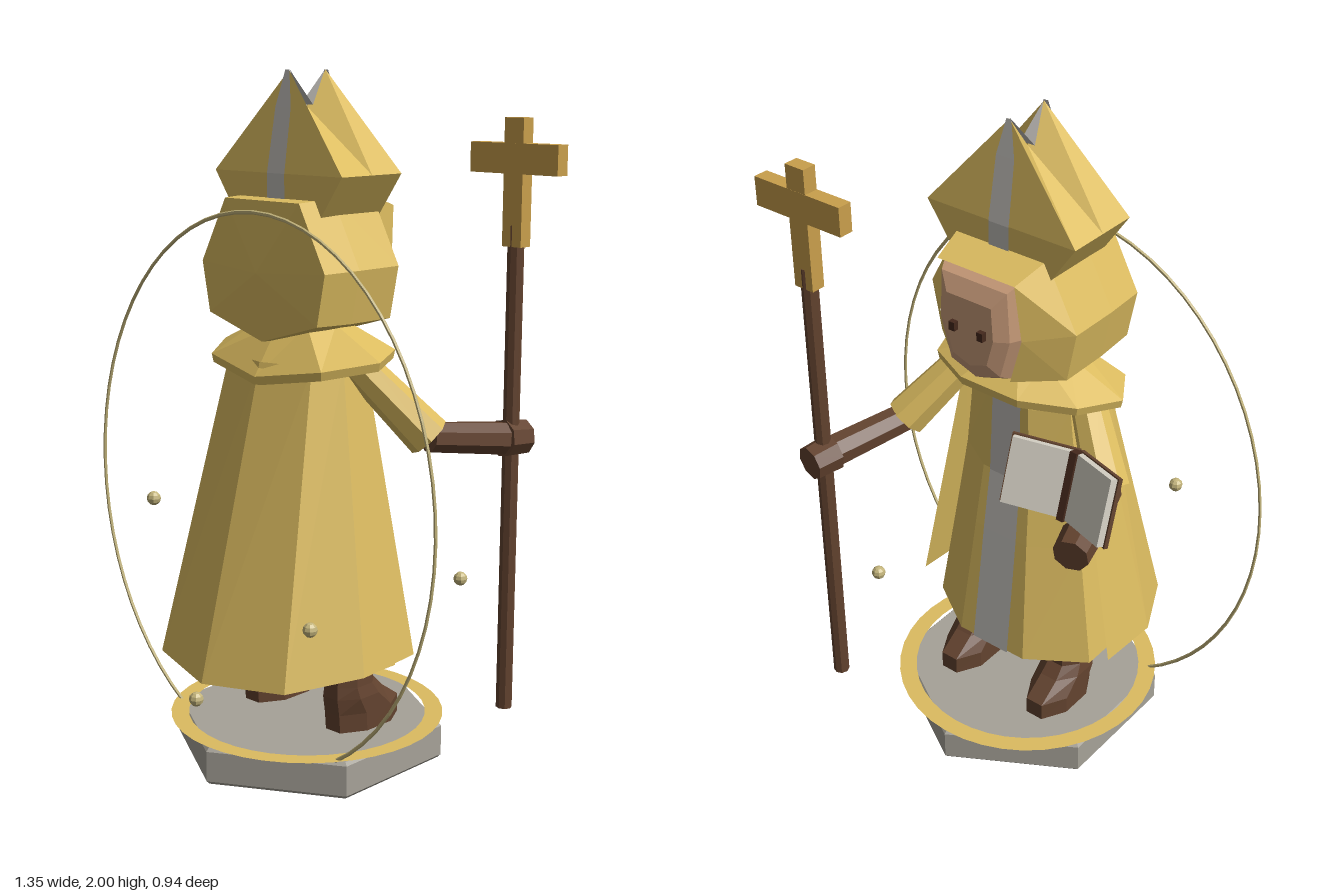
import * as THREE from 'three';

const paint = (name, color, side = THREE.FrontSide) => {
  const m = new THREE.MeshStandardMaterial({ color, side });
  m.name = name;
  return m;
};

// Faceted normals for any geometry
function facet(geo) {
  const g = geo.index ? geo.toNonIndexed() : geo;
  g.computeVertexNormals();
  return g;
}

// Skin rings of [x, y, z] points, counter-clockwise about the direction they advance in
function loft(rings, { closed = true, capStart = false, capEnd = false } = {}) {
  const pos = [];
  const tri = (a, b, c) => pos.push(...a, ...b, ...c);
  const n = rings[0].length;
  for (let i = 0; i < rings.length - 1; i++) {
    for (let j = 0; j < (closed ? n : n - 1); j++) {
      const k = (j + 1) % n;
      tri(rings[i][j], rings[i][k], rings[i + 1][k]);
      tri(rings[i][j], rings[i + 1][k], rings[i + 1][j]);
    }
  }
  const last = rings[rings.length - 1];
  for (let j = 1; j < n - 1; j++) {
    if (capStart) tri(rings[0][0], rings[0][j + 1], rings[0][j]);
    if (capEnd) tri(last[0], last[j], last[j + 1]);
  }
  const g = new THREE.BufferGeometry();
  g.setAttribute('position', new THREE.Float32BufferAttribute(pos, 3));
  return facet(g);
}

// Horizontal ellipse of n points
const oval = (y, rx, z0, z1, n = 8, x = 0, turn = Math.PI / n) =>
  Array.from({ length: n }, (_, i) => {
    const t = turn + (i / n) * Math.PI * 2;
    return [x + rx * Math.sin(t), y, (z0 + z1) / 2 + ((z1 - z0) / 2) * Math.cos(t)];
  });

// Half outline starting on the centre line, completed by mirroring in x
const mirrored = (half) => [...half, ...half.slice(1).reverse().map(([x, y, z]) => [-x, y, z])];

export function createModel() {
  const gold = paint('goldCloth', 0xdcbc60);
  const goldThin = paint('goldCloak', 0xdcbc60, THREE.DoubleSide);
  const brass = paint('brass', 0xc99f4c);
  const brown = paint('brownLeather', 0x63432f);
  const dark = paint('darkBrown', 0x45291d);
  const stone = paint('greyStone', 0xa6a298);
  const silver = paint('silverTrim', 0xc0bdb8, THREE.DoubleSide);
  const paper = paint('paper', 0xd6d2c6);
  const skin = paint('skin', 0xc99c7a);
  const pale = paint('paleGold', 0xc4b57c);

  const model = new THREE.Group();
  model.name = 'robedFigure';
  const add = (name, geo, mat, parent = model) => {
    const m = new THREE.Mesh(facet(geo), mat);
    m.name = name;
    parent.add(m);
    return m;
  };
  const limb = (name, a, b, ra, rb, mat) => {
    const A = new THREE.Vector3(...a), B = new THREE.Vector3(...b);
    const dir = B.clone().sub(A);
    const m = add(name, new THREE.CylinderGeometry(rb, ra, dir.length(), 8), mat);
    m.position.copy(A).add(B).multiplyScalar(0.5);
    m.quaternion.setFromUnitVectors(new THREE.Vector3(0, 1, 0), dir.normalize());
  };

  // Hexagonal base and flat ring
  const profile = [[0, 0], [0.4, 0], [0.41, 0.01], [0.41, 0.1], [0.4, 0.11], [0, 0.11]];
  add('base', new THREE.LatheGeometry(profile.map((p) => new THREE.Vector2(...p)), 6), stone);
  const floorRing = add('floorRing', new THREE.RingGeometry(0.355, 0.408, 40), goldThin);
  floorRing.rotation.x = -Math.PI / 2;
  floorRing.position.y = 0.116;

  // Tall hoop behind the figure and floating beads
  const hoop = add('hoop', new THREE.TorusGeometry(0.67, 0.005, 6, 64), pale);
  hoop.scale.y = 1.2;
  hoop.position.set(0, 0.815, 0.213);
  [[-0.32, 0.77, 0.315], [0.32, 0.52, 0.315], [0.32, 0.52, -0.325], [0, 0.27, 0.445]].forEach((p) =>
    add('bead', new THREE.SphereGeometry(0.021, 8, 6), pale).position.set(...p));

  // Boots
  for (const s of [-1, 1]) {
    const x = 0.17 * s;
    add('boot', loft([
      oval(0.11, 0.075, -0.195, 0.075, 8, x), oval(0.165, 0.075, -0.195, 0.08, 8, x),
      oval(0.215, 0.075, -0.12, 0.085, 8, x), oval(0.25, 0.068, -0.085, 0.08, 8, x),
      oval(0.36, 0.06, -0.08, 0.07, 8, x),
    ], { capStart: true, capEnd: true }), brown);
  }

  // Robe with a front panel
  add('robe', loft([
    oval(0.31, 0.315, -0.195, 0.215), oval(0.7, 0.25, -0.14, 0.17), oval(0.9, 0.22, -0.11, 0.15),
    oval(1.15, 0.19, -0.1, 0.13), oval(1.29, 0.12, -0.09, 0.1),
  ], { capStart: true, capEnd: true }), gold);
  const panel = [[0.31, -0.186, 0.065], [0.7, -0.134, 0.06], [0.9, -0.107, 0.055], [1.15, -0.097, 0.05], [1.27, -0.093, 0.045]];
  add('robePanel', loft(panel.map(([y, z, w]) => [[w, y, z], [-w, y, z]]), { closed: false }), silver);

  // Cloak, open at the figure's face side
  const hem = [[0.36, 0.36, -0.07], [0.36, 0.345, 0.14], [0.255, 0.325, 0.35], [0, 0.31, 0.425]];
  const neck = [[0.2, 1.2, -0.03], [0.2, 1.2, 0.06], [0.165, 1.2, 0.15], [0, 1.2, 0.19]];
  const sweep = (h) => [...h.slice(0, 3).map(([x, y, z]) => [-x, y, z]), ...[...h].reverse()];
  add('cloak', loft([sweep(hem), sweep(neck)], { closed: false }), goldThin);

  // Shoulder mantle
  const brim = mirrored([[0, 1.16, 0.21], [0.22, 1.195, 0.17], [0.31, 1.215, 0.03], [0.25, 1.23, -0.1], [0.1, 1.235, -0.175]]);
  add('mantle', loft([
    brim.map(([x, y, z]) => [x * 0.6, y + 0.02, z * 0.6]),
    brim.map(([x, y, z]) => [x * 0.98, y - 0.025, z * 0.98]),
    brim,
    brim.map(([x, , z]) => [x * 0.42, 1.3, z * 0.55]),
  ], { capEnd: true }), goldThin);

  // Hood
  const outline = [[0, 1.25], [0.22, 1.315], [0.25, 1.465], [0.15, 1.655]];
  const hoodRing = (z, s) => mirrored(outline.map(([x, y]) => [x * s, 1.45 + (y - 1.45) * s, z]));
  const opening = mirrored([[0, 1.275, -0.19], [0.1, 1.31, -0.205], [0.14, 1.45, -0.205], [0.13, 1.62, -0.222]]);
  add('hood', loft([
    opening, hoodRing(-0.11, 1), hoodRing(0.05, 1), hoodRing(0.18, 0.97),
    opening.map(() => [0, 1.45, 0.203]),
  ]), gold);

  // Face and eyes
  const faceRing = (s, z) => opening.map(([x, y]) => [x * s, 1.45 + (y - 1.45) * s, z]);
  add('face', loft([faceRing(0.58, -0.252), faceRing(0.85, -0.228), faceRing(0.98, -0.19)], { capStart: true }), skin);
  for (const s of [-1, 1]) {
    add('eye', new THREE.BoxGeometry(0.02, 0.026, 0.02), dark).position.set(0.048 * s, 1.46, -0.258);
  }

  // Two-peaked hat: a band, two outer panels and a folded saddle between the peaks
  const rect = (y, w, d) => [[-w, y, d], [w, y, d], [w, y, -d], [-w, y, -d]];
  add('hatBand', loft([rect(1.6, 0.165, 0.12), rect(1.72, 0.248, 0.12)], { capStart: true }), gold);
  const [bl, br, fr, fl] = rect(1.72, 0.248, 0.12);
  const back = [0, 2, 0.07], front = [0, 2, -0.075], valley = [0, 1.9, 0];
  const right = [0.248, 1.72, 0], left = [-0.248, 1.72, 0];
  add('hatCrown', loft([[bl, br, right, fr, fl, left], [back, back, valley, front, front, valley]]), gold);
  for (const s of [-1, 1]) {
    const bar = [[1.6, 0.124, 0.034], [1.72, 0.124, 0.034], [1.9, 0.094, 0.03], [2, 0.077, 0.008]];
    add('hatStripe', loft(bar.map(([y, z, w]) => [[-w * s, y, z * s], [w * s, y, z * s]]), { closed: false }), silver);
  }
  add('hatFold', loft([
    [[0, 2, 0.067], [0, 2, 0.067]], [[-0.024, 1.905, 0], [0.024, 1.905, 0]], [[0, 2, -0.072], [0, 2, -0.072]],
  ], { closed: false }), silver);

  // Arms: sleeve, forearm and hand
  const arms = [
    [[0.2, 1.2, 0.01], [0.345, 0.985, -0.14], [0.42, 0.955, -0.38], [0.435, 0.95, -0.46]],
    [[-0.2, 1.2, 0.01], [-0.335, 0.985, -0.07], [-0.39, 0.965, -0.26], [-0.415, 0.955, -0.345]],
  ];
  for (const [shoulder, cuff, wrist, hand] of arms) {
    limb('sleeve', shoulder, cuff, 0.05, 0.065, gold);
    limb('forearm', cuff, wrist, 0.045, 0.05, brown);
    limb('hand', wrist, hand, 0.056, 0.052, brown);
  }

  // Staff topped with a cross
  add('staff', new THREE.CylinderGeometry(0.024, 0.024, 1.445, 8), brown).position.set(0.432, 0.8475, -0.405);
  add('crossUpright', new THREE.BoxGeometry(0.066, 0.36, 0.044), brass).position.set(0.433, 1.69, -0.404);
  add('crossArms', new THREE.BoxGeometry(0.305, 0.085, 0.045), brass).position.set(0.433, 1.757, -0.404);

  // Open book
  const book = new THREE.Group();
  book.name = 'book';
  book.position.set(-0.34, 1.095, -0.235);
  book.rotation.x = 0.3;
  model.add(book);
  for (const s of [-1, 1]) {
    const wing = new THREE.Group();
    wing.name = 'bookHalf';
    wing.rotation.y = 0.4 * s;
    book.add(wing);
    add('cover', new THREE.BoxGeometry(0.19, 0.2, 0.012), brown, wing).position.set(0.095 * s, 0, 0.006);
    add('pages', new THREE.BoxGeometry(0.183, 0.192, 0.02), paper, wing).position.set(0.0925 * s, 0, -0.01);
  }
  add('bookmark', new THREE.BoxGeometry(0.022, 0.2, 0.03), dark, book).position.set(0, 0, -0.02);

  return model;
}
